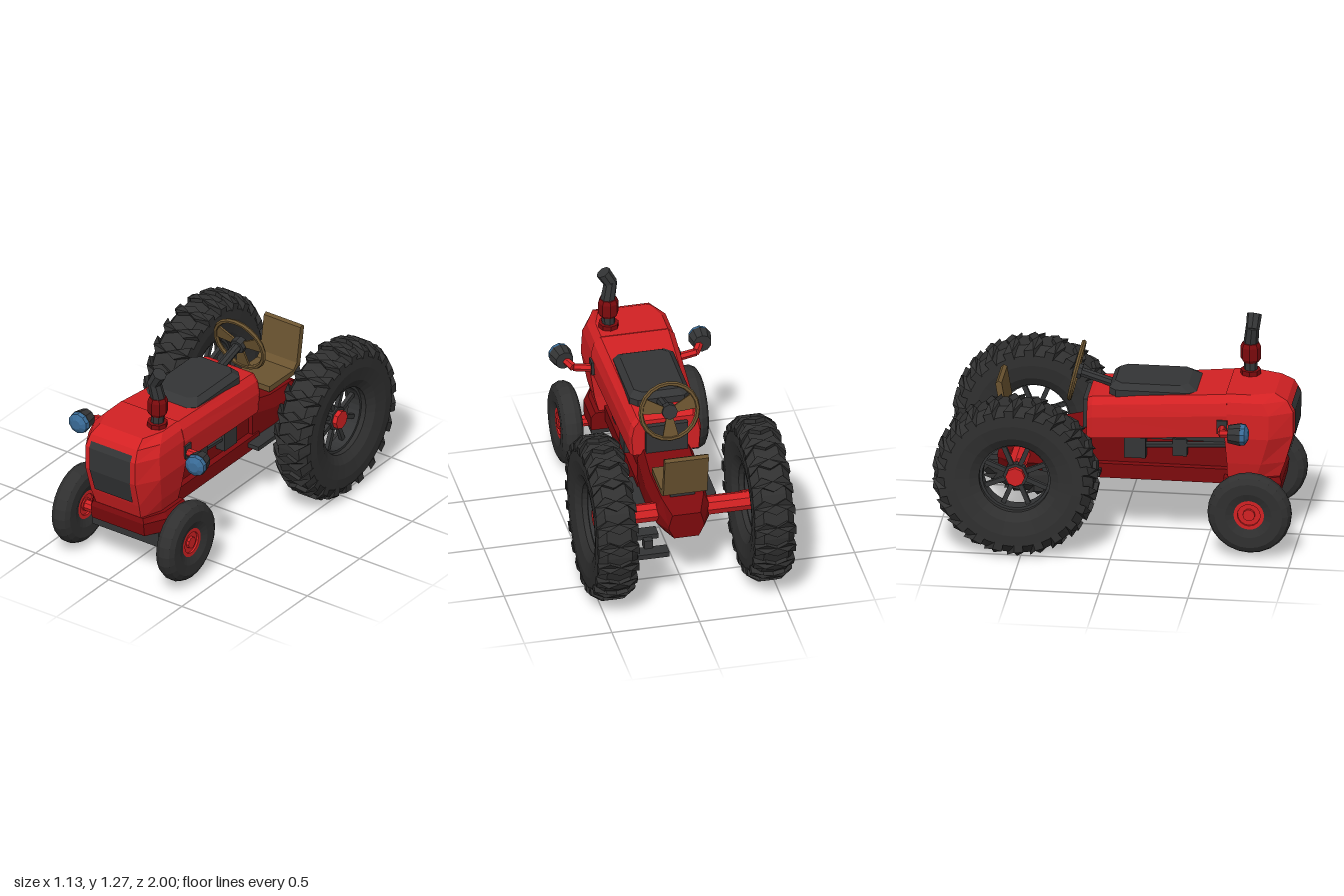
import * as THREE from 'three';

const mat = (name, color) => Object.assign(new THREE.MeshStandardMaterial({ color }), { name });
const V = (x, y, z) => new THREE.Vector3(x, y, z);

// Faceted mesh
function part(parent, name, geo, material) {
  const g = geo.index ? geo.toNonIndexed() : geo;
  g.computeVertexNormals();
  const m = new THREE.Mesh(g, material);
  m.name = name;
  parent.add(m);
  return m;
}

// Box given by its min and max corners
function box(x0, x1, y0, y1, z0, z1) {
  return new THREE.BoxGeometry(Math.abs(x1 - x0), y1 - y0, z1 - z0)
    .translate((x0 + x1) / 2, (y0 + y1) / 2, (z0 + z1) / 2);
}

// Straight rod between two points
function rod(a, b, r0, r1 = r0, sides = 8) {
  const d = b.clone().sub(a);
  const q = new THREE.Quaternion().setFromUnitVectors(V(0, 1, 0), d.clone().normalize());
  return new THREE.CylinderGeometry(r1, r0, d.length(), sides)
    .applyQuaternion(q).translate((a.x + b.x) / 2, (a.y + b.y) / 2, (a.z + b.z) / 2);
}

// Skin over rings of points, counter-clockwise seen from the last ring's side
function loft(rings, closed = true) {
  const n = rings[0].length, pos = rings.flat(2), idx = [];
  for (let i = 0; i + 1 < rings.length; i++) {
    for (let j = 0; j < (closed ? n : n - 1); j++) {
      const a = i * n + j, b = i * n + (j + 1) % n;
      idx.push(a, b, b + n, a, b + n, a + n);
    }
  }
  const e = (rings.length - 1) * n;
  for (let j = 1; closed && j + 1 < n; j++) idx.push(0, j + 1, j, e, e + j, e + j + 1);
  const g = new THREE.BufferGeometry();
  g.setAttribute('position', new THREE.Float32BufferAttribute(pos, 3));
  g.setIndex(idx);
  return g;
}

// Ring at depth z from the right half of a section, bottom to top
const section = (z, half) => [
  ...half.map(([x, y]) => [x, y, z]),
  ...half.slice().reverse().map(([x, y]) => [-x, y, z]),
];
// Level ring with a flat back and a bevelled front
const plan = (y, w, f, zf, zb, c = 0.13) => [
  [w, y, zb], [-w, y, zb], [-w, y, zf - c], [-f, y, zf], [f, y, zf], [w, y, zf - c],
];
// Level octagon
const octagon = (y, w, z0, z1, c) => [
  [w, y, z0 + c], [w - c, y, z0], [c - w, y, z0], [-w, y, z0 + c],
  [-w, y, z1 - c], [c - w, y, z1], [w - c, y, z1], [w, y, z1 - c],
];

// Ring turned about the x axis from (radius, x) pairs
const turned = (pts, n) => new THREE.LatheGeometry(
  [...pts, pts[0]].map(([r, x]) => new THREE.Vector2(r, x)), n).rotateZ(-Math.PI / 2);

// Zigzag tread bar bent round the tyre
function lug(angle) {
  const xs = [-0.116, -0.06, 0, 0.06, 0.116], vs = [0.03, -0.015, 0.012, -0.015, 0.03], t = 0.055;
  const pts = xs.map((x, i) => new THREE.Vector2(x, vs[i] - t / 2));
  pts.push(...xs.map((x, i) => new THREE.Vector2(x, vs[i] + t / 2)).reverse());
  const g = new THREE.ExtrudeGeometry(new THREE.Shape(pts), { depth: 0.045, bevelEnabled: false });
  const p = g.attributes.position;
  for (let i = 0; i < p.count; i++) {
    const x = p.getX(i), a = p.getY(i) / 0.44 + angle;
    const r = 0.42 - Math.max(0, Math.abs(x) - 0.06) * 0.7 + p.getZ(i);
    p.setXYZ(i, x, r * Math.cos(a), -r * Math.sin(a));
  }
  return g;
}

export function createModel() {
  const tractor = new THREE.Group();
  tractor.name = 'tractor';
  const red = mat('red paint', 0xd32123), dark = mat('dark red', 0x7d0a0d);
  const rubber = mat('rubber', 0x303030), iron = mat('dark iron', 0x343536);
  const brown = mat('brown leather', 0x6b5430), blue = mat('lamp glass', 0x3a6c98);
  const add = (name, geo, m) => part(tractor, name, geo, m);

  // Hood and nose
  const hoodRing = (z, w, top, bot) => section(z, [
    [w * 0.96, bot], [w, top - 0.11], [w * 0.93, top - 0.04], [w * 0.78, top]]);
  add('hood', loft([hoodRing(-0.17, 0.195, 0.825, 0.605), hoodRing(-0.14, 0.207, 0.838, 0.6),
    hoodRing(0.62, 0.247, 0.9, 0.66)]), red);
  add('nose', loft([
    plan(0.385, 0.195, 0.15, 0.9, 0.62), plan(0.5, 0.225, 0.165, 0.94, 0.62),
    plan(0.66, 0.25, 0.17, 0.985, 0.61), plan(0.8, 0.242, 0.17, 0.985, 0.61),
    plan(0.865, 0.225, 0.16, 0.95, 0.61), plan(0.903, 0.19, 0.145, 0.88, 0.61)]), red);
  const grilleRows = [[0.52, 0.13, 0.952], [0.66, 0.137, 0.991], [0.8, 0.14, 0.991], [0.835, 0.14, 0.972]];
  add('grille', loft(grilleRows.map(([y, w, z]) => [[-w, y, z], [w, y, z]]), false), iron);
  add('hoodCover', loft([octagon(0.82, 0.172, -0.05, 0.44, 0.04), octagon(0.885, 0.172, -0.05, 0.44, 0.04),
    octagon(0.917, 0.14, -0.02, 0.39, 0.04)]), iron);

  // Chassis and engine
  add('frontBolster', loft([plan(0.3, 0.25, 0.18, 0.91, 0.6), plan(0.38, 0.25, 0.18, 0.92, 0.6),
    plan(0.41, 0.225, 0.17, 0.91, 0.6)]), dark);
  add('chassisRail', box(-0.17, 0.17, 0.355, 0.44, -0.2, 0.65), dark);
  add('engineBlock', box(-0.13, 0.13, 0.43, 0.62, -0.2, 0.63), dark);
  add('engineTop', box(-0.165, 0.165, 0.6, 0.66, -0.15, 0.62), iron);
  const gearRing = (z, w, top, bot) => section(z, [
    [w * 0.7, bot], [w, bot + 0.06], [w, top - 0.07], [w * 0.8, top]]);
  add('gearbox', loft([gearRing(-0.68, 0.1, 0.51, 0.36), gearRing(-0.58, 0.15, 0.57, 0.355),
    gearRing(-0.36, 0.165, 0.59, 0.355), gearRing(-0.15, 0.16, 0.64, 0.355)]), dark);
  add('dashboard', box(-0.12, 0.12, 0.6, 0.8, -0.2, -0.16), iron);

  // Axles
  add('frontAxleBeam', box(-0.225, 0.225, 0.21, 0.3, 0.7, 0.84), iron);
  add('frontAxle', rod(V(-0.36, 0.262, 0.765), V(0.36, 0.262, 0.765), 0.033), red);
  add('rearAxle', rod(V(-0.4, 0.465, -0.545), V(0.4, 0.465, -0.545), 0.055), red);

  // Exhaust stack
  const ex = (x, y, z = 0.71) => V(x, y, z);
  add('exhaustCollar', rod(ex(0.125, 0.87), ex(0.125, 0.93), 0.058), dark);
  add('exhaustNeck', rod(ex(0.125, 0.92), ex(0.127, 0.985), 0.038), iron);
  [[0.975, 0.995, 0.045, 0.058], [0.995, 1.065, 0.058, 0.058], [1.065, 1.088, 0.058, 0.048]].forEach(
    ([a, b, r, s]) => add('muffler', rod(ex(0.127, a), ex(0.127, b), r, s), dark));
  add('exhaustPipe', rod(ex(0.13, 1.08), ex(0.11, 1.19, 0.722), 0.042, 0.038), iron);
  add('exhaustTip', rod(ex(0.108, 1.175, 0.722), ex(0.152, 1.25, 0.727), 0.038, 0.042), iron);

  // Steering
  add('steeringColumn', rod(V(0, 0.845, 0), V(0, 0.92, -0.24), 0.027), iron);
  const steering = new THREE.Group();
  steering.name = 'steeringWheel';
  steering.position.set(0, 0.922, -0.25);
  steering.rotation.x = 0.23;
  tractor.add(steering);
  part(steering, 'steeringRim', new THREE.TorusGeometry(0.162, 0.014, 6, 20), brown);
  part(steering, 'steeringHub', rod(V(0, 0, -0.02), V(0, 0, 0.03), 0.045), iron);
  for (const a of [0.3, Math.PI - 0.3, -Math.PI / 2]) {
    const s = new THREE.Shape([[0.03, -0.018], [0.16, -0.048], [0.16, 0.048], [0.03, 0.018]]
      .map(([x, y]) => new THREE.Vector2(x, y)));
    part(steering, 'steeringSpoke', new THREE.ExtrudeGeometry(s, { depth: 0.012, bevelEnabled: false })
      .translate(0, 0, -0.006).rotateZ(a), brown);
  }

  // Seat, drawn in side profile and extruded across
  const seatShape = new THREE.Shape([[0.36, 0.6], [0.6, 0.6], [0.65, 0.63], [0.69, 0.87], [0.675, 0.885],
    [0.655, 0.875], [0.62, 0.665], [0.59, 0.632], [0.36, 0.635]].map(([x, y]) => new THREE.Vector2(x, y)));
  add('seat', new THREE.ExtrudeGeometry(seatShape, { depth: 0.25, bevelEnabled: false })
    .translate(0, 0, -0.125).rotateY(Math.PI / 2), brown);
  add('seatMount', box(-0.07, 0.07, 0.54, 0.61, -0.58, -0.4), iron);

  // Rear step beside the axle
  add('stepPad', box(0.16, 0.33, 0.375, 0.405, -0.68, -0.6), iron);
  add('stepStem', box(0.2, 0.25, 0.33, 0.39, -0.72, -0.66), iron);
  add('stepPad', box(0.12, 0.3, 0.31, 0.34, -0.78, -0.7), iron);

  for (const s of [1, -1]) {
    const side = s > 0 ? 'left' : 'right';
    // Footboard
    const foot = [[0.13, -0.42], [0.2, -0.42], [0.243, -0.35], [0.243, -0.09], [0.13, -0.09]];
    const plate = new THREE.Shape(foot.map(([x, z]) => new THREE.Vector2(s * x, -z)));
    add(side + 'Footboard', new THREE.ExtrudeGeometry(plate, { depth: 0.025, bevelEnabled: false })
      .rotateX(-Math.PI / 2).translate(0, 0.39, 0), iron);

    // Engine fittings
    add(side + 'FuelFilter', box(s * 0.12, s * 0.18, 0.51, 0.61, 0.31, 0.39), iron);
    add(side + 'Battery', box(s * 0.12, s * 0.19, 0.49, 0.61, 0.04, 0.16), iron);
    add(side + 'EnginePipe', rod(V(s * 0.16, 0.585, 0.62), V(s * 0.16, 0.56, 0.14), 0.018, 0.018, 6), iron);

    // Headlamp on a bent bracket
    add(side + 'LampMount', box(s * 0.225, s * 0.255, 0.685, 0.765, 0.565, 0.625), iron);
    const bend = [V(s * 0.24, 0.715, 0.595), V(s * 0.35, 0.728, 0.605), V(s * 0.39, 0.745, 0.68)];
    add(side + 'LampArm', rod(bend[0], bend[1], 0.024, 0.022, 6), red);
    add(side + 'LampArm', rod(bend[1], bend[2], 0.024, 0.022, 6), red);
    const lamp = new THREE.Group();
    lamp.name = side + 'Headlamp';
    lamp.position.set(s * 0.397, 0.748, 0.7);
    lamp.rotation.y = s > 0 ? 0.15 : 0;
    tractor.add(lamp);
    part(lamp, 'lampHousing', rod(V(0, 0, -0.05), V(0, 0, 0.02), 0.052, 0.066, 10), iron);
    part(lamp, 'lampGlass', rod(V(0, 0, 0.02), V(0, 0, 0.045), 0.063, 0.06, 10), blue);
    part(lamp, 'lampGlass', rod(V(0, 0, 0.045), V(0, 0, 0.062), 0.06, 0.03, 10), blue);

    // Rear wheel
    const rear = new THREE.Group();
    rear.name = side + 'RearWheel';
    rear.position.set(s * 0.447, 0.465, -0.533);
    tractor.add(rear);
    part(rear, 'rearTyre', turned([[0.2, -0.07], [0.25, -0.1], [0.33, -0.114], [0.39, -0.112],
      [0.442, -0.07], [0.442, 0.07], [0.39, 0.112], [0.33, 0.114], [0.25, 0.1], [0.2, 0.07]], 32), rubber);
    for (let i = 0; i < 22; i++) part(rear, 'treadBar', lug(i / 22 * Math.PI * 2), rubber);
    part(rear, 'rearRim', turned([[0.185, -0.04], [0.205, -0.04], [0.205, 0.04], [0.185, 0.04]], 32), iron);
    for (let i = 0; i < 8; i++) {
      part(rear, 'spoke', box(-0.012, 0.012, 0.04, 0.195, -0.013, 0.013)
        .rotateX((i + 0.5) / 8 * Math.PI * 2), iron);
    }
    part(rear, 'hubPlate', rod(V(-0.022, 0, 0), V(0.022, 0, 0), 0.07), iron);
    part(rear, 'rearHub', rod(V(-s * 0.1, 0, 0), V(s * 0.05, 0, 0), 0.054), red);

    // Front wheel
    const front = new THREE.Group();
    front.name = side + 'FrontWheel';
    front.position.set(s * 0.357, 0.265, 0.765);
    tractor.add(front);
    part(front, 'frontTyre', turned([[0.08, -0.04], [0.13, -0.058], [0.19, -0.06], [0.22, -0.044],
      [0.235, -0.015], [0.235, 0.015], [0.22, 0.044], [0.19, 0.06], [0.13, 0.058], [0.08, 0.04]], 24), rubber);
    part(front, 'frontRim', rod(V(-0.03, 0, 0), V(0.03, 0, 0), 0.086, 0.086, 16), red);
    part(front, 'rimRing', turned([[0.064, -0.042], [0.088, -0.042], [0.088, 0.042], [0.064, 0.042]], 16), red);
    part(front, 'frontHub', rod(V(-s * 0.04, 0, 0), V(s * 0.045, 0, 0), 0.04, 0.034, 10), red);
  }
  return tractor;
}
